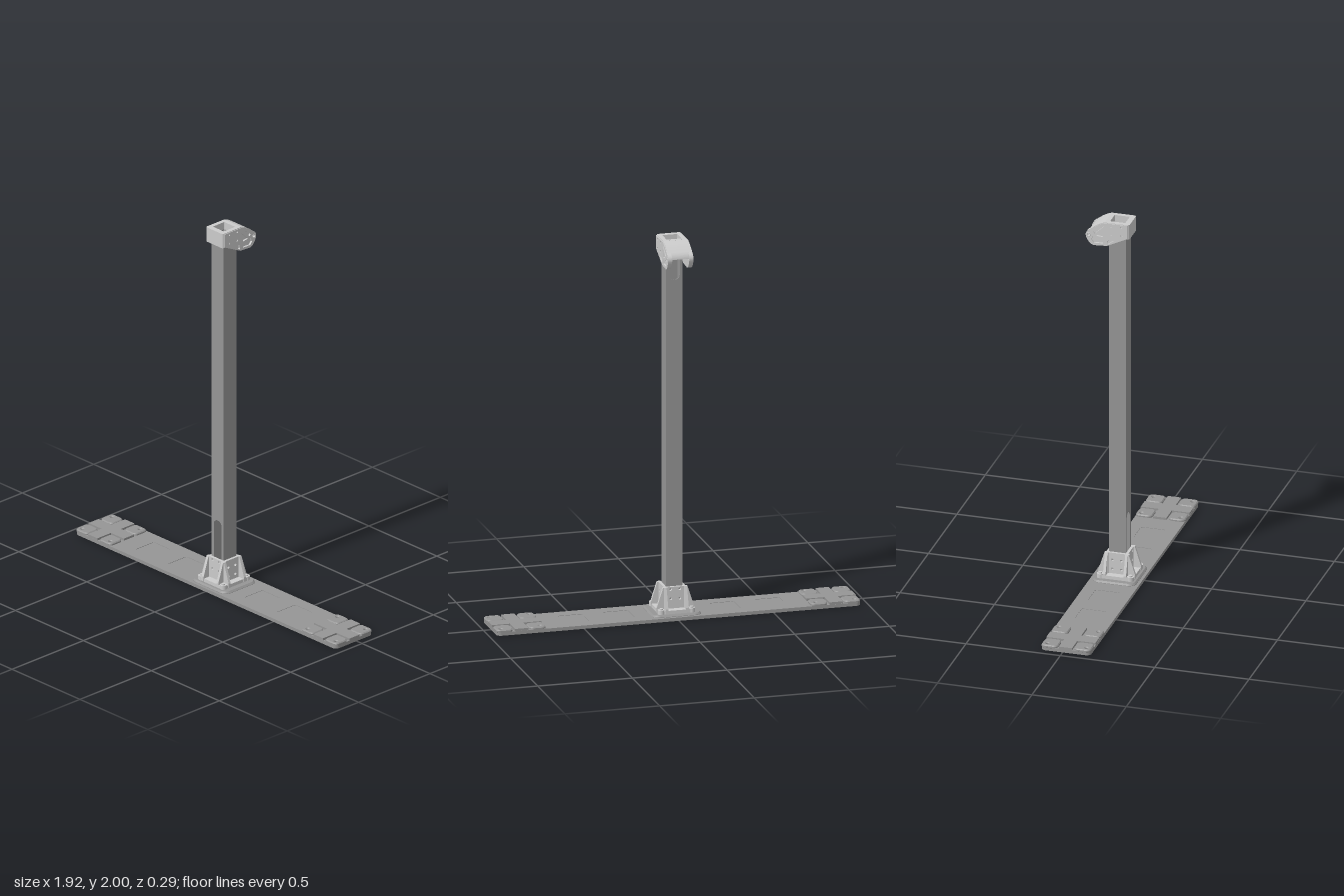
import * as THREE from 'three';

const grey = new THREE.MeshStandardMaterial({ color: 0xcccccc });
const darkGrey = new THREE.MeshStandardMaterial({ color: 0x959595 });
const Z0 = 0.015; // depth of the post axis

function add(parent, name, geo, x = 0, y = 0, z = 0, material = grey) {
  const m = new THREE.Mesh(geo, material);
  m.name = name;
  m.position.set(x, y, z);
  parent.add(m);
  return m;
}

// Rounded rectangle centred on (cx, cy)
function roundRect(w, h, r, cx = 0, cy = 0, Type = THREE.Shape) {
  const s = new Type(), a = w / 2, b = h / 2;
  s.absarc(cx + a - r, cy + b - r, r, 0, Math.PI / 2);
  s.absarc(cx - a + r, cy + b - r, r, Math.PI / 2, Math.PI);
  s.absarc(cx - a + r, cy - b + r, r, Math.PI, Math.PI * 1.5);
  s.absarc(cx + a - r, cy - b + r, r, Math.PI * 1.5, Math.PI * 2);
  s.closePath();
  return s;
}

const circle = (x, y, r) => new THREE.Path().absarc(x, y, r, 0, Math.PI * 2, true);
const polygon = (pts) => new THREE.Shape(pts.map((p) => new THREE.Vector2(...p)));

const extrude = (shape, depth) =>
  new THREE.ExtrudeGeometry(shape, { depth, bevelEnabled: false, curveSegments: 10 });
// Plan outline raised upwards
const slab = (shape, h) => extrude(shape, h).rotateX(-Math.PI / 2);
// Plan outline raised upwards with a chamfered rim, standing on y = 0
const chamferSlab = (shape, h, c) => new THREE.ExtrudeGeometry(shape, {
  depth: h - c, bevelSize: c, bevelOffset: -c, bevelThickness: c, bevelSegments: 1, curveSegments: 10,
}).rotateX(-Math.PI / 2);
// Side outline (z, y) given a thickness centred on x
const sidePlate = (shape, t) => extrude(shape, t).rotateY(-Math.PI / 2).translate(t / 2, 0, 0);

function buildBase() {
  const g = new THREE.Group();
  g.name = 'base';
  g.position.z = Z0;
  // Solid underside, drilled core, and a thin skin with shallow square recesses
  const outline = () => roundRect(1.92, 0.262, 0.025);
  const core = outline(), skin = outline();
  for (const s of [-1, 1]) {
    for (const x of [0.727, 0.933]) for (const z of [-0.104, 0.104])
      for (const layer of [core, skin]) layer.holes.push(circle(s * x, z, 0.008));
    for (const x of [0.28, 0.52])
      skin.holes.push(roundRect(0.13, 0.13, 0.01, s * x, 0, THREE.Path));
  }
  add(g, 'basePlate', slab(outline(), 0.004), 0, 0, 0, darkGrey);
  add(g, 'basePlateCore', slab(core, 0.012), 0, 0.004, 0, darkGrey);
  add(g, 'basePlateSkin', slab(skin, 0.002), 0, 0.016, 0, darkGrey);
  add(g, 'centrePlinth', chamferSlab(roundRect(0.26, 0.23, 0.04), 0.012, 0.008), 0, 0.016, 0, darkGrey);

  // End pads: a raised cross between four drilled corner tiles
  const a = 0.035, b = 0.13;
  const cross = polygon([[-b, -a], [-a, -a], [-a, -b], [a, -b], [a, -a], [b, -a],
    [b, a], [a, a], [a, b], [-a, b], [-a, a], [-b, a]]);
  for (const s of [-1, 1]) {
    add(g, 'padCross', slab(cross, 0.012), s * 0.83, 0.018, 0, darkGrey);
    for (const i of [-1, 1]) for (const k of [-1, 1]) {
      const tile = roundRect(0.088, 0.088, 0.022);
      tile.holes.push(circle(i * 0.016, -k * 0.017, 0.008));
      add(g, 'padTile', chamferSlab(tile, 0.014, 0.005),
        s * 0.83 + i * 0.087, 0.016, k * 0.087, darkGrey);
    }
  }
  return g;
}

function buildFoot() {
  const g = new THREE.Group();
  g.name = 'footBracket';
  g.position.z = Z0;
  add(g, 'footFlange', slab(roundRect(0.19, 0.19, 0.02), 0.018), 0, 0.028);
  const fin = polygon([[0.044, 0.16], [0.064, 0.16], [0.098, 0.055], [0.098, 0.03], [0.044, 0.03]]);
  for (let i = 0; i < 4; i++) {
    const side = new THREE.Group();
    side.name = 'footSide';
    side.rotation.y = i * Math.PI / 2;
    g.add(side);
    // Bolted wall between two sloping fins
    const wall = roundRect(0.11, 0.12, 0.004, 0, 0.1);
    const low = i % 2 ? 0.07 : 0.097;
    for (const x of [-0.024, 0.024]) for (const y of [low, low + 0.05])
      wall.holes.push(circle(x, y, 0.007));
    add(side, 'footWall', extrude(wall, 0.014), 0, 0, 0.044);
    for (const x of [-0.054, 0.054]) add(side, 'footFin', sidePlate(fin, 0.014), x);
    // Corner screw with washer
    add(side, 'screwWasher', new THREE.CylinderGeometry(0.018, 0.018, 0.022, 24), 0.08, 0.039, 0.08);
    add(side, 'screwHead', new THREE.CylinderGeometry(0.009, 0.009, 0.008, 16), 0.08, 0.053, 0.08);
  }
  return g;
}

function buildPost() {
  const g = new THREE.Group();
  g.name = 'post';
  g.position.z = Z0;
  const w = 0.088, t = 0.004, bottom = 0.028, top = 1.96, h = top - bottom, mid = (top + bottom) / 2;
  // Hollow square tube with a slot low on the front and high on the back
  for (const [name, slotY, slotH, z] of [
    ['postFront', 0.235, 0.27, w / 2 - t], ['postBack', 1.86, 0.15, -w / 2]]) {
    const face = polygon([[-w / 2, bottom], [w / 2, bottom], [w / 2, top], [-w / 2, top]]);
    face.holes.push(roundRect(0.058, slotH, 0.028, 0, slotY, THREE.Path));
    add(g, name, extrude(face, t), 0, 0, z, darkGrey);
  }
  for (const s of [-1, 1])
    add(g, 'postSide', new THREE.BoxGeometry(t, h, w - 2 * t), s * (w - t) / 2, mid, 0, darkGrey);
  return g;
}

// Side outline of the head, from the collar to the rear pivot
function cheekOutline() {
  const s = new THREE.Shape();
  s.moveTo(0.073, 1.997);
  s.lineTo(-0.045, 1.997);
  s.quadraticCurveTo(-0.075, 1.99, -0.125, 1.955);
  s.quadraticCurveTo(-0.147, 1.943, -0.147, 1.922);
  s.quadraticCurveTo(-0.144, 1.902, -0.13, 1.885);
  s.quadraticCurveTo(-0.118, 1.868, -0.1, 1.868);
  s.lineTo(-0.035, 1.872);
  s.lineTo(0.06, 1.918);
  s.lineTo(0.073, 1.925);
  s.closePath();
  return s;
}

function buildHead() {
  const g = new THREE.Group();
  g.name = 'headBracket';
  // Collar around the post
  const collar = roundRect(0.126, 0.13, 0.012);
  collar.holes.push(roundRect(0.08, 0.08, 0.002, 0, 0.003, THREE.Path));
  add(g, 'collar', slab(collar, 0.08), 0, 1.92, 0.018);

  // Cheeks with bolt holes, truss windows and a pivot hole
  const cheek = cheekOutline();
  const windows = [
    [[-0.05, 1.978], [-0.065, 1.974], [-0.108, 1.942], [-0.1, 1.932]],
    [[-0.043, 1.968], [-0.09, 1.922], [-0.055, 1.918]],
    [[-0.05, 1.905], [-0.085, 1.908], [-0.108, 1.92], [-0.118, 1.898], [-0.105, 1.882], [-0.055, 1.883]],
    [[0.004, 1.906], [-0.028, 1.906], [-0.034, 1.885], [-0.028, 1.882]],
  ];
  for (const w of windows) cheek.holes.push(new THREE.Path(polygon(w).getPoints()));
  for (const z of [0.042, -0.013]) for (const y of [1.984, 1.937]) cheek.holes.push(circle(z, y, 0.006));
  // Inner webs close the windows into pockets
  const web = cheekOutline();
  for (const s of [cheek, web]) s.holes.push(circle(-0.131, 1.924, 0.007));
  for (const s of [-1, 1]) {
    add(g, 'cheek', sidePlate(cheek, 0.01), s * 0.062);
    add(g, 'cheekWeb', sidePlate(web, 0.012), s * 0.051);
    add(g, 'pivotBoss', new THREE.TorusGeometry(0.0095, 0.003, 8, 24).rotateY(Math.PI / 2),
      s * 0.066, 1.924, -0.131);
  }

  // Curved hood between the cheeks
  const hood = new THREE.Shape();
  hood.moveTo(-0.03, 2.0);
  hood.lineTo(-0.045, 2.0);
  hood.quadraticCurveTo(-0.08, 1.993, -0.122, 1.957);
  hood.quadraticCurveTo(-0.137, 1.943, -0.139, 1.925);
  hood.lineTo(-0.129, 1.925);
  hood.quadraticCurveTo(-0.127, 1.938, -0.116, 1.95);
  hood.quadraticCurveTo(-0.08, 1.98, -0.045, 1.988);
  hood.lineTo(-0.03, 1.988);
  hood.closePath();
  add(g, 'hood', sidePlate(hood, 0.126));
  return g;
}

export function createModel() {
  const model = new THREE.Group();
  model.name = 'postStand';
  model.add(buildBase(), buildFoot(), buildPost(), buildHead());
  return model;
}
